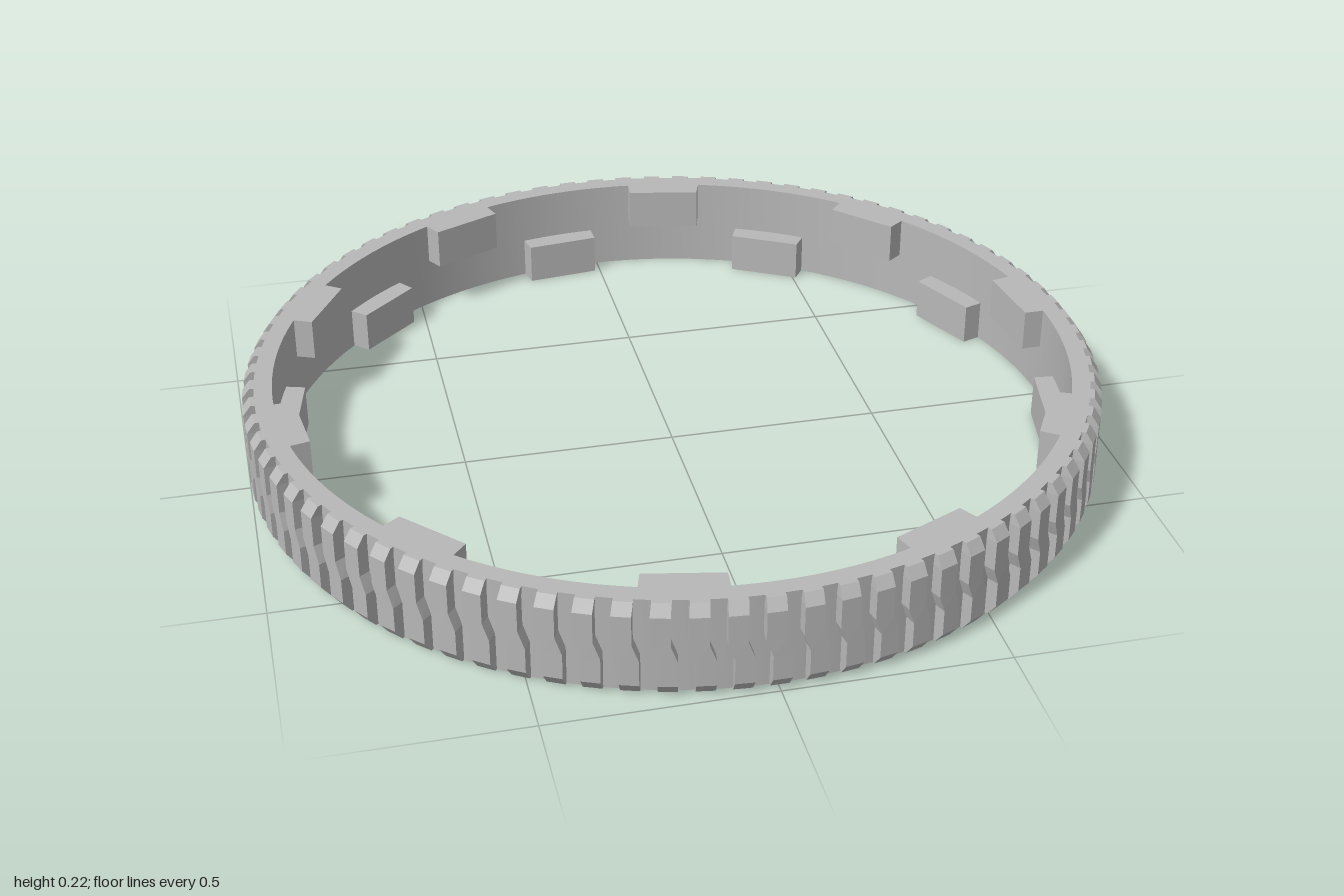
import * as THREE from 'three';
import { toCreasedNormals } from 'three/addons/utils/BufferGeometryUtils.js';

const HEIGHT = 0.225, INNER = 0.93, OUTER = 0.972;
const TREADS = 80, LUGS = 20;
const DEG = Math.PI / 180;

// Tread bar lofted up the wall from four-cornered sections: [y, outer radius, sideways shift]
function treadGeometry() {
  const sections = [
    [0, 0.978, 0.003],
    [0.03, 1, 0.003],
    [0.09, 1, 0.003],
    [0.13, 1, -0.012],
    [0.2, 1, -0.012],
    [HEIGHT, 0.982, -0.01],
  ];
  const half = 0.021, root = 0.96;
  const pos = [], index = [];
  for (const [y, r, shift] of sections) {
    for (const [side, rad] of [[-1, root], [-1, r], [1, r], [1, root]]) {
      const a = shift + side * half;
      pos.push(Math.sin(a) * rad, y, Math.cos(a) * rad);
    }
  }
  for (let s = 0; s < sections.length - 1; s++) {
    for (let c = 0; c < 3; c++) {
      const a = s * 4 + c, b = a + 1;
      index.push(a, b, b + 4, a, b + 4, a + 4);
    }
  }
  const t = (sections.length - 1) * 4;
  index.push(0, 3, 2, 0, 2, 1, t, t + 1, t + 2, t, t + 2, t + 3);
  const g = new THREE.BufferGeometry();
  g.setAttribute('position', new THREE.Float32BufferAttribute(pos, 3));
  g.setIndex(index);
  const flat = g.toNonIndexed();
  flat.computeVertexNormals();
  return flat;
}

// Block with a flat inner face, its root sunk into the ring wall
function lugGeometry() {
  const half = 5.8 * DEG, face = 0.884, root = 0.945;
  const shape = new THREE.Shape([[face, -half], [root, -half], [root, half], [face, half]]
    .map(([r, a]) => new THREE.Vector2(r * Math.cos(a), r * Math.sin(a))));
  const g = new THREE.ExtrudeGeometry(shape, { depth: 0.1, bevelEnabled: false });
  g.rotateX(-Math.PI / 2);
  return g;
}

export function createModel() {
  const model = new THREE.Group();
  model.name = 'treadedRing';
  const grey = new THREE.MeshStandardMaterial({ color: 0xb8b8b8 });
  grey.name = 'grey';

  // Plain band
  const profile = [[INNER, 0], [OUTER, 0], [OUTER, HEIGHT], [INNER, HEIGHT], [INNER, 0]]
    .map(([x, y]) => new THREE.Vector2(x, y));
  const band = new THREE.Mesh(toCreasedNormals(new THREE.LatheGeometry(profile, 160), 0.6), grey);
  band.name = 'band';
  model.add(band);

  // Kinked treads around the outside
  const treads = new THREE.Group();
  treads.name = 'treads';
  const treadShape = treadGeometry();
  for (let i = 0; i < TREADS; i++) {
    const tread = new THREE.Mesh(treadShape, grey);
    tread.name = 'tread';
    tread.rotation.y = (i / TREADS) * Math.PI * 2;
    treads.add(tread);
  }
  model.add(treads);

  // Inner lugs, alternately flush with the top and bottom rims
  const lugs = new THREE.Group();
  lugs.name = 'innerLugs';
  const lugShape = lugGeometry();
  for (let i = 0; i < LUGS; i++) {
    const upper = i % 2 === 0;
    const lug = new THREE.Mesh(lugShape, grey);
    lug.name = upper ? 'upperLug' : 'lowerLug';
    lug.rotation.y = (6.7 + i * 360 / LUGS) * DEG;
    lug.position.y = upper ? HEIGHT - 0.1 : 0;
    lugs.add(lug);
  }
  model.add(lugs);
  return model;
}
